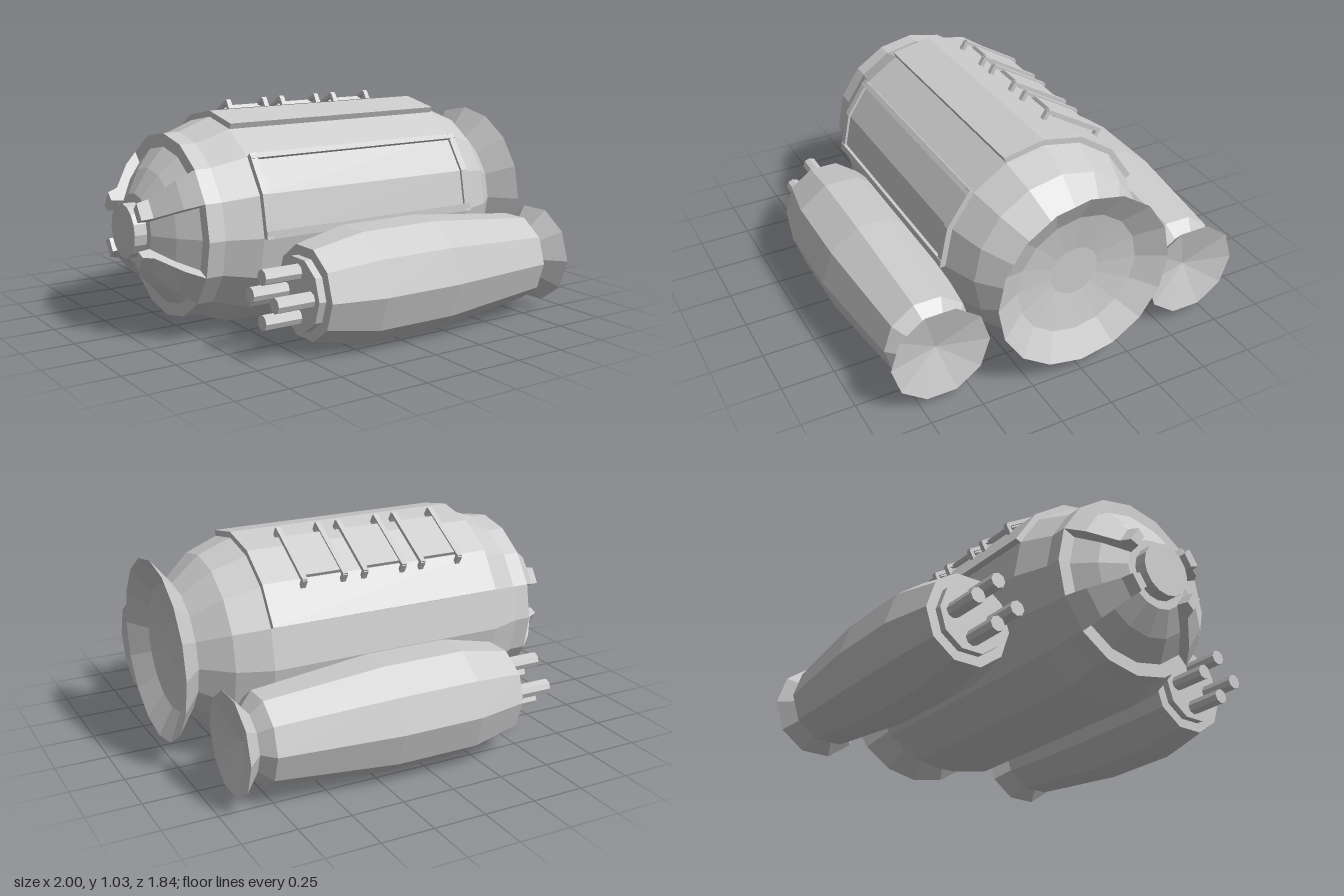
import * as THREE from 'three';
import { mergeGeometries } from 'three/addons/utils/BufferGeometryUtils.js';

const material = new THREE.MeshStandardMaterial({ color: 0xcccccc, flatShading: true, side: THREE.DoubleSide });
const rad = THREE.MathUtils.degToRad;

function add(parent, name, geometry) {
  const mesh = new THREE.Mesh(geometry, material);
  mesh.name = name;
  parent.add(mesh);
  return mesh;
}

// Solid of revolution about the x axis; profile is [x, radius] pairs
function revolve(profile, sides) {
  const points = profile.map(([x, r]) => new THREE.Vector2(r, x));
  return new THREE.LatheGeometry(points, sides).rotateZ(-Math.PI / 2);
}

// Capped slice of a revolved closed profile; angles in degrees run from +z up to +y
function sector(profile, from, to, segments) {
  const points = profile.map(([x, r]) => new THREE.Vector2(r, x));
  const start = -rad(to), length = rad(to - from);
  const skin = new THREE.LatheGeometry([...points, points[0]], segments, start, length);
  const caps = [start, start + length].map((a) =>
    new THREE.ShapeGeometry(new THREE.Shape(points)).rotateY(a - Math.PI / 2));
  return mergeGeometries([skin, ...caps]).rotateZ(-Math.PI / 2);
}

// Curved plate of constant thickness
const plate = (x0, x1, inner, outer, from, to, segments) =>
  sector([[x0, outer], [x1, outer], [x1, inner], [x0, inner]], from, to, segments);

function createHull() {
  const hull = new THREE.Group();
  hull.name = 'hull';
  hull.position.y = 0.49;

  // Barrel body with collar, stepped nose dome and blunt tip
  add(hull, 'body', revolve([
    [-1, 0], [-1, 0.125], [-0.94, 0.125], [-0.94, 0.165], [-0.87, 0.275], [-0.79, 0.365],
    [-0.79, 0.427], [-0.71, 0.427], [-0.55, 0.485], [0.61, 0.485], [0.77, 0.425], [0.9, 0.31], [0.9, 0],
  ], 16));
  add(hull, 'mainNozzle', revolve([[0.9, 0.31], [1, 0.43], [0.93, 0.3], [0.88, 0]], 16));

  // Four claws reaching over the nose
  const claw = [[-1, 0.17], [-1, 0.215], [-0.95, 0.235], [-0.86, 0.36], [-0.79, 0.427],
    [-0.79, 0.35], [-0.87, 0.26], [-0.94, 0.16]];
  for (const from of [22.5, 135, 202.5, 315]) add(hull, 'noseClaw', sector(claw, from, from + 22.5, 1));

  // Raised plate wrapping the top and the rear shoulder
  add(hull, 'topPlate', plate(-0.55, 0.61, 0.47, 0.513, 67.5, 157.5, 4));

  // Framed side panel
  add(hull, 'sidePanel', plate(-0.55, 0.61, 0.47, 0.5, 0, 45, 2));
  add(hull, 'panelFrameEnd', plate(-0.55, -0.515, 0.47, 0.512, 0, 45, 2));
  add(hull, 'panelFrameEnd', plate(0.575, 0.61, 0.47, 0.512, 0, 45, 2));
  add(hull, 'panelFrameLower', plate(-0.55, 0.61, 0.47, 0.51, 0, 4, 1));
  add(hull, 'panelFrameUpper', plate(-0.55, 0.61, 0.47, 0.51, 42, 45, 1));
  return hull;
}

// Hatch cover held between two bent rails, lying on the sloping top plate
function createHatch(x) {
  const hatch = new THREE.Group();
  hatch.name = 'hatch';
  hatch.position.set(x, 0.937, -0.263);
  hatch.rotation.x = -rad(31);
  add(hatch, 'hatchCover', new THREE.BoxGeometry(0.2, 0.018, 0.245)).position.set(0, -0.004, -0.01);
  for (const side of [-1, 1]) {
    add(hatch, 'hatchRail', new THREE.BoxGeometry(0.024, 0.018, 0.33)).position.set(side * 0.1, 0.004, 0);
    for (const end of [-1, 1]) {
      add(hatch, 'railFoot', new THREE.BoxGeometry(0.024, 0.045, 0.02))
        .position.set(side * 0.1, -0.016, end * 0.16);
    }
  }
  return hatch;
}

function createPod(z) {
  const pod = new THREE.Group();
  pod.name = 'enginePod';
  pod.position.set(0, 0.27, z);
  add(pod, 'podBody', revolve([
    [-0.485, 0], [-0.485, 0.168], [-0.45, 0.168], [-0.45, 0.215], [-0.2, 0.268], [0.2, 0.268],
    [0.77, 0.21], [0.825, 0.15], [0.825, 0],
  ], 10));
  add(pod, 'podNozzle', revolve([[0.825, 0.15], [0.9, 0.235], [0.84, 0]], 10));
  // Four barrels in a diamond
  for (let i = 0; i < 4; i++) {
    const a = (i * Math.PI) / 2;
    add(pod, 'barrel', new THREE.CylinderGeometry(0.036, 0.036, 0.2, 8).rotateZ(Math.PI / 2))
      .position.set(-0.565, 0.1 * Math.sin(a), 0.1 * Math.cos(a));
  }
  return pod;
}

export function createModel() {
  const model = new THREE.Group();
  model.name = 'spacecraft';
  model.add(createHull());
  for (const x of [-0.28, 0.02, 0.325]) model.add(createHatch(x));
  for (const side of [-1, 1]) model.add(createPod(side * 0.65));
  return model;
}
